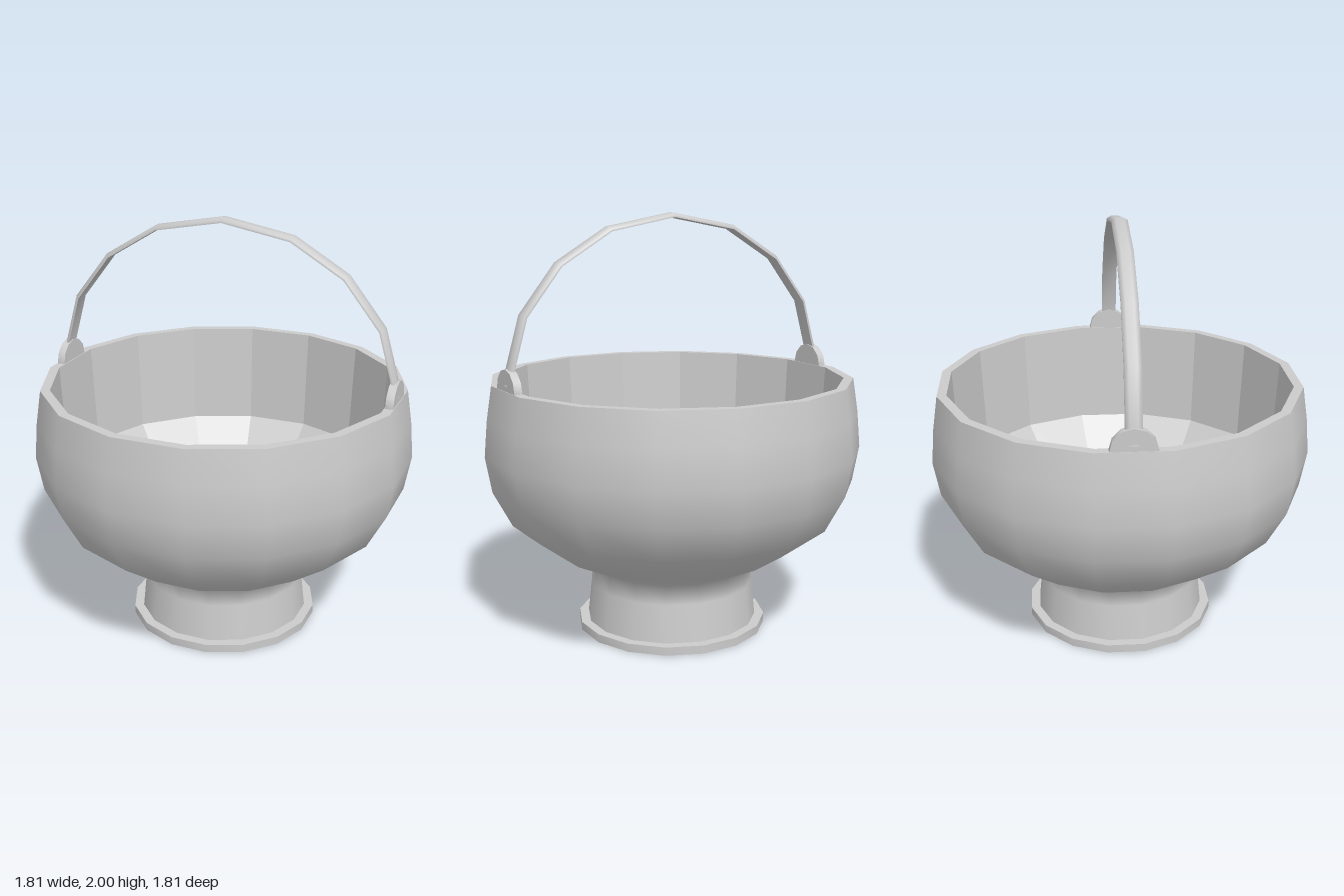
import * as THREE from 'three';
import { toCreasedNormals } from 'three/addons/utils/BufferGeometryUtils.js';

const SIDES = 16;
const smooth = () => new THREE.MeshStandardMaterial({ color: 0xcccccc });
const faceted = () => new THREE.MeshStandardMaterial({ color: 0xcccccc, flatShading: true });

function addMesh(parent, name, geometry, material) {
  const mesh = new THREE.Mesh(geometry, material);
  mesh.name = name;
  parent.add(mesh);
  return mesh;
}

const lathe = (profile) =>
  new THREE.LatheGeometry(profile.map(([r, y]) => new THREE.Vector2(r, y)), SIDES);

// Sweeps a closed section [across, outward] along points [x, y] in the xy plane
function sweep(path, section) {
  const n = section.length;
  const positions = [];
  const index = [];
  path.forEach(([x, y], i) => {
    const a = path[Math.max(i - 1, 0)];
    const b = path[Math.min(i + 1, path.length - 1)];
    const length = Math.hypot(b[0] - a[0], b[1] - a[1]);
    const nx = -(b[1] - a[1]) / length;
    const ny = (b[0] - a[0]) / length;
    for (const [across, out] of section) positions.push(x + nx * out, y + ny * out, across);
    if (i === 0) return;
    for (let j = 0; j < n; j++) {
      const p = (i - 1) * n + j;
      const q = (i - 1) * n + (j + 1) % n;
      index.push(p, p + n, q, q, p + n, q + n);
    }
  });
  const geometry = new THREE.BufferGeometry();
  geometry.setAttribute('position', new THREE.Float32BufferAttribute(positions, 3));
  geometry.setIndex(index);
  return toCreasedNormals(geometry, 1.1);
}

export function createModel() {
  const model = new THREE.Group();
  model.name = 'handledBowl';

  // Smooth outside of the bowl flowing into the flared foot
  const body = lathe([
    [0.415, 0.04], [0.396, 0.22], [0.385, 0.31], [0.57, 0.4], [0.785, 0.56],
    [0.875, 0.73], [0.905, 0.9], [0.89, 1.07], [0.865, 1.23],
  ]);
  addMesh(model, 'bowlAndFoot', body, smooth());

  // Faceted rim, inner wall and floor
  addMesh(model, 'bowlInside', lathe([
    [0.865, 1.23], [0.82, 1.23], [0.795, 0.73], [0.54, 0.43], [0, 0.43],
  ]), faceted());

  // Base ring with a shallow recess underneath
  addMesh(model, 'baseRing', toCreasedNormals(lathe([
    [0.31, 0], [0.46, 0], [0.46, 0.04], [0.41, 0.04],
  ]), 0.6), smooth());
  addMesh(model, 'baseRecess', lathe([[0, 0.055], [0.255, 0.055], [0.31, 0]]), faceted());

  // The handle lies across the middle of two opposite sides
  const handleGroup = new THREE.Group();
  handleGroup.name = 'handleAssembly';
  handleGroup.rotation.y = -Math.PI / SIDES;
  model.add(handleGroup);

  const half = [[0.835, 1.25], [0.825, 1.32], [0.757, 1.557], [0.583, 1.777], [0.33, 1.928]];
  const path = [...half.map(([x, y]) => [-x, y]), [0, 1.988], ...half.slice().reverse()];
  const section = [
    [-0.037, -0.01], [0.037, -0.01], [0.037, 0.001],
    [0.018, 0.012], [-0.018, 0.012], [-0.037, 0.001],
  ];
  addMesh(handleGroup, 'handle', sweep(path, section), smooth());

  // Round lugs set into the rim
  for (const side of [1, -1]) {
    const lug = new THREE.CylinderGeometry(0.103, 0.103, 0.037, 12);
    lug.rotateZ(Math.PI / 2);
    const name = side > 0 ? 'leftLug' : 'rightLug';
    addMesh(handleGroup, name, toCreasedNormals(lug, 0.7), smooth())
      .position.set(side * 0.827, 1.227, 0);
  }
  return model;
}
